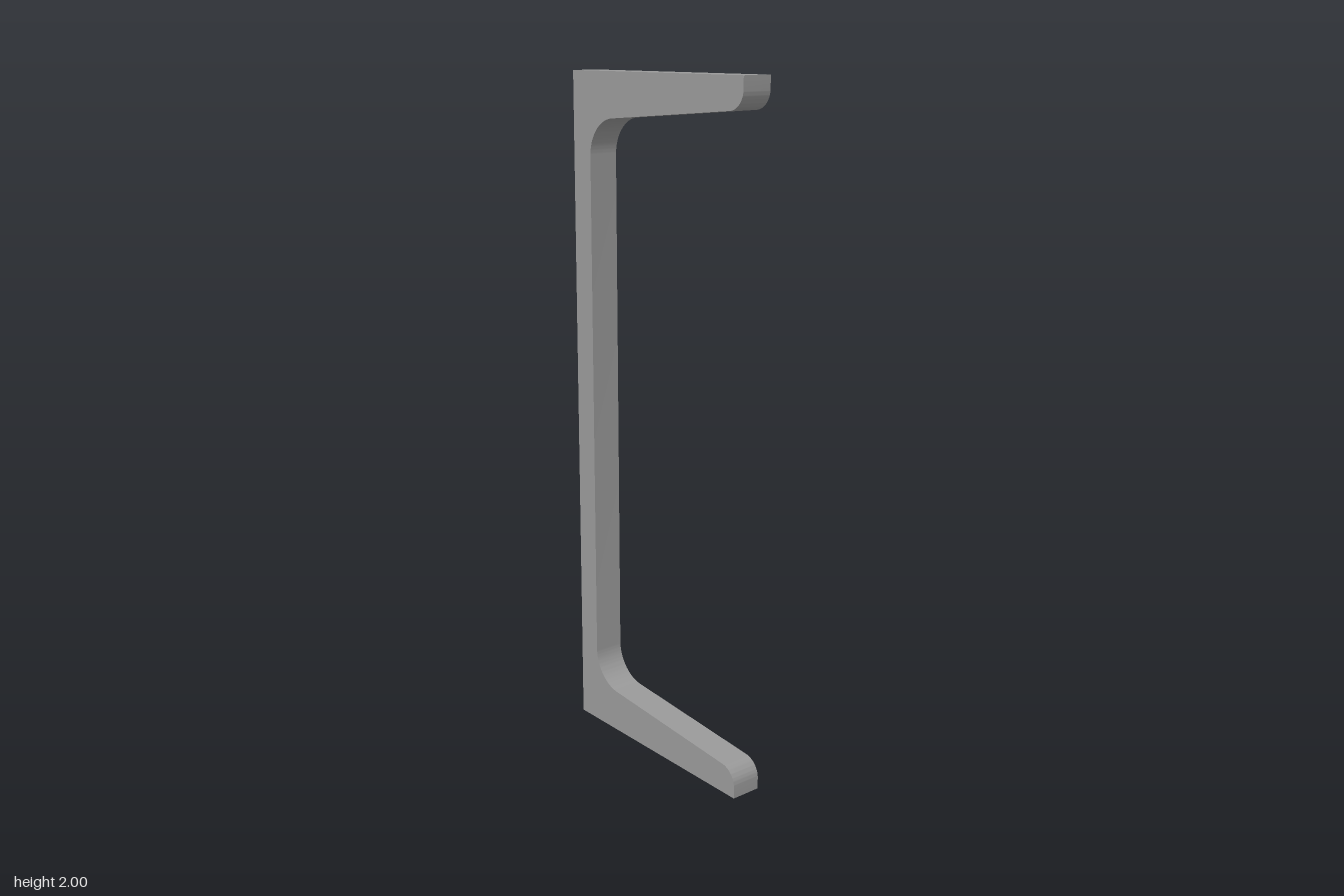
import * as THREE from 'three';
import { toCreasedNormals } from 'three/addons/utils/BufferGeometryUtils.js';

export function createModel() {
  const group = new THREE.Group();
  group.name = 'channelSection';
  const steel = new THREE.MeshStandardMaterial({ color: 0x999999 });
  steel.name = 'steel grey';

  const halfWidth = 0.363, height = 2, depth = 0.092;
  const webInner = -0.285, filletR = 0.11, toeR = 0.055, slope = 0.08;

  // Tapered inner face of the lower flange
  const flangeY = (x) => 0.128 - slope * (x + 0.18);
  const stretch = Math.hypot(1, slope);
  const tilt = Math.PI / 2 - Math.atan(slope);

  // Arc centres tangent to the tapered face
  const fx = webInner + filletR, fy = flangeY(fx) + filletR * stretch;
  const tx = halfWidth - toeR, ty = flangeY(tx) - toeR * stretch;

  // C profile, anticlockwise from the lower outer corner
  const profile = new THREE.Shape();
  profile.moveTo(-halfWidth, 0);
  profile.lineTo(halfWidth, 0);
  profile.absarc(tx, ty, toeR, 0, tilt, false);
  profile.absarc(fx, fy, filletR, Math.PI + tilt, Math.PI, true);
  profile.absarc(fx, height - fy, filletR, Math.PI, Math.PI - tilt, true);
  profile.absarc(tx, height - ty, toeR, -tilt, 0, false);
  profile.lineTo(halfWidth, height);
  profile.lineTo(-halfWidth, height);
  profile.closePath();

  // Short extruded length of channel with smooth fillets and sharp edges
  const geometry = new THREE.ExtrudeGeometry(profile, { depth, bevelEnabled: false, curveSegments: 16 });
  geometry.translate(0, 0, -depth / 2);
  const channel = new THREE.Mesh(toCreasedNormals(geometry, 0.5), steel);
  channel.name = 'channel';
  group.add(channel);
  return group;
}
